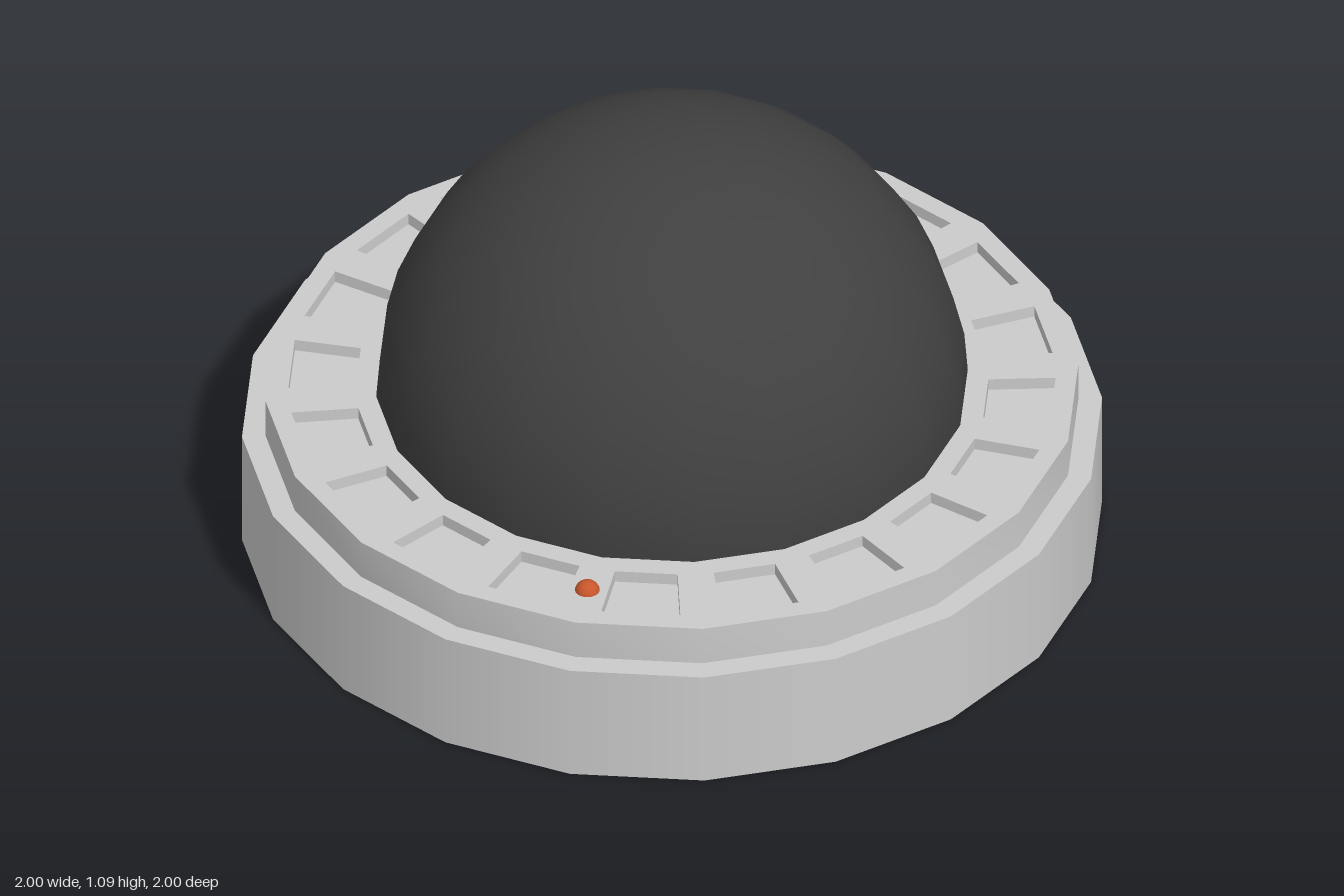
import * as THREE from 'three';
import { toCreasedNormals } from 'three/addons/utils/BufferGeometryUtils.js';

const SIDES = 20;
const STEP = (Math.PI * 2) / SIDES;

export function createModel() {
  const group = new THREE.Group();
  const grey = new THREE.MeshStandardMaterial({ color: 0xcccccc });
  const dark = new THREE.MeshStandardMaterial({ color: 0x404040 });
  const orange = new THREE.MeshStandardMaterial({ color: 0xc8562c });

  const add = (name, geometry, material, x = 0, y = 0, z = 0) => {
    const mesh = new THREE.Mesh(geometry, material);
    mesh.name = name;
    mesh.position.set(x, y, z);
    group.add(mesh);
  };

  // Wide base drum
  add('base', new THREE.CylinderGeometry(1, 1, 0.3, SIDES), grey, 0, 0.15, 0);

  // Raised deck with a ring of tapered pockets, one per side
  const deck = new THREE.Shape(Array.from({ length: SIDES }, (_, i) =>
    new THREE.Vector2(Math.cos(i * STEP), Math.sin(i * STEP)).multiplyScalar(0.945)));
  const pocket = [[0.73, -0.073], [0.73, 0.073], [0.885, 0.092], [0.885, -0.092]];
  const origin = new THREE.Vector2();
  for (let i = 0; i < SIDES; i++) {
    const corners = pocket.map(([r, t]) =>
      new THREE.Vector2(r, t).rotateAround(origin, (i + 0.5) * STEP));
    deck.holes.push(new THREE.Path(corners));
  }
  const deckGeometry = new THREE.ExtrudeGeometry(deck, { depth: 0.1, bevelEnabled: false });
  deckGeometry.rotateX(-Math.PI / 2);
  add('deck', toCreasedNormals(deckGeometry, 0.5), grey, 0, 0.3, 0);

  // Shallow floor seen through the pockets
  const floor = new THREE.CircleGeometry(0.925, SIDES).rotateX(-Math.PI / 2);
  add('pocketFloor', floor, grey, 0, 0.37, 0);

  // Smooth half-sphere dome
  const dome = new THREE.SphereGeometry(0.688, SIDES, 10, 0, Math.PI * 2, 0, Math.PI / 2);
  add('dome', dome, dark, 0, 0.397, 0);

  // Small indicator bead between two pockets
  add('bead', new THREE.SphereGeometry(0.03, 16, 10), orange, -0.662, 0.394, 0.477);

  return group;
}
